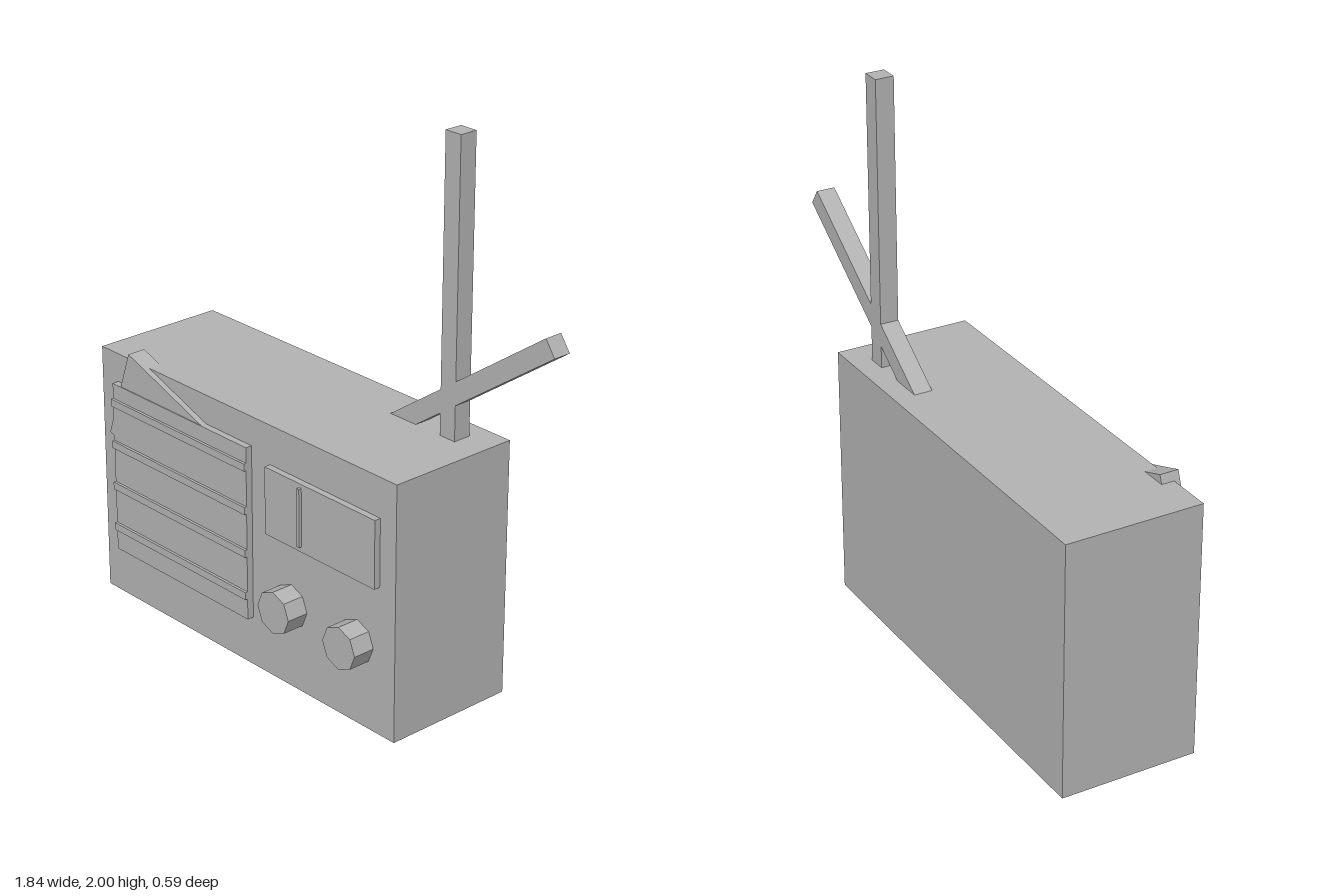
import * as THREE from 'three';

export function createModel() {
  const group = new THREE.Group();
  const grey = new THREE.MeshStandardMaterial({ color: 0xb3b3b3, flatShading: true });
  grey.name = 'plain grey';

  const add = (name, geometry, x, y, z, roll = 0) => {
    const mesh = new THREE.Mesh(geometry, grey);
    mesh.name = name;
    mesh.position.set(x, y, z);
    mesh.rotation.z = roll;
    group.add(mesh);
    return mesh;
  };
  // Box given by its limits on each axis
  const block = (name, x0, x1, y0, y1, z0, z1) =>
    add(name, new THREE.BoxGeometry(x1 - x0, y1 - y0, z1 - z0),
      (x0 + x1) / 2, (y0 + y1) / 2, (z0 + z1) / 2);

  // Case
  block('case', -0.922, 0.6, 0, 0.945, -0.296, 0.212);

  // Speaker panel with raised slats
  block('speakerPanel', -0.835, -0.11, 0.185, 0.837, 0.2, 0.237);
  for (let i = 0; i < 4; i++) {
    const y = 0.278 + i * 0.1625;
    block('speakerSlat', -0.835, -0.11, y - 0.014, y + 0.014, 0.2, 0.247);
  }

  // Tilted plate tucked behind the speaker panel
  const tilt = -0.339, w = 0.6, h = 0.356;
  const plateX = -0.743 + (w / 2) * Math.cos(tilt) + (h / 2) * Math.sin(tilt);
  const plateY = 0.976 + (w / 2) * Math.sin(tilt) - (h / 2) * Math.cos(tilt);
  add('tiltedPlate', new THREE.BoxGeometry(w, h, 0.07), plateX, plateY, 0.199, tilt);

  // Tuning dial and needle
  block('dial', -0.016, 0.525, 0.55, 0.8, 0.2, 0.236);
  block('dialNeedle', 0.157, 0.169, 0.57, 0.785, 0.2, 0.247);

  // Eight-sided knobs
  for (const x of [0.09, 0.418]) {
    const knob = new THREE.CylinderGeometry(0.079, 0.079, 0.095, 8).rotateX(Math.PI / 2);
    add('knob', knob, x, 0.311, 0.248);
  }

  // Crossed aerials: one upright, one leaning
  block('uprightAerial', 0.419, 0.488, 0.9, 2, -0.22, -0.152);
  const lean = 0.611, length = 0.95;
  add('leaningAerial', new THREE.BoxGeometry(length, 0.07, 0.068),
    0.9 - (length / 2) * Math.cos(lean), 1.405 - (length / 2) * Math.sin(lean), -0.186, lean);

  return group;
}
